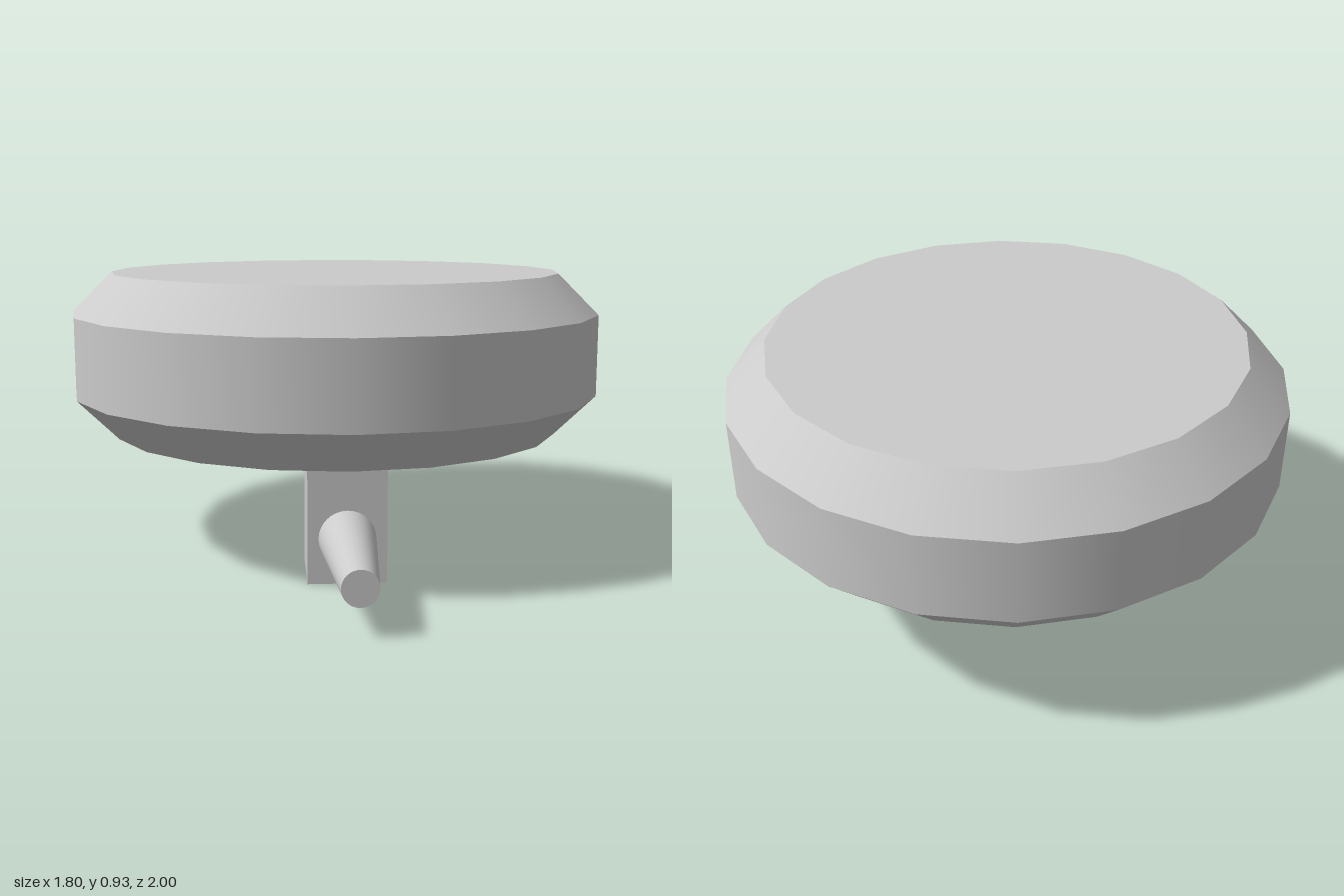
import * as THREE from 'three';

export function createModel() {
  const model = new THREE.Group();
  const material = new THREE.MeshStandardMaterial({ color: 0xcccccc });
  const add = (parent, name, geometry, x, y, z) => {
    const mesh = new THREE.Mesh(geometry, material);
    mesh.name = name;
    mesh.position.set(x, y, z);
    parent.add(mesh);
    return mesh;
  };

  // Twenty-sided bevelled disc: each band is smooth around, with sharp edges between bands
  const SIDES = 20, R = 0.9, FACE_R = 0.765;
  const disc = new THREE.Group();
  disc.name = 'disc';
  disc.position.z = -0.1;
  model.add(disc);
  const bands = [
    ['lowerBevel', FACE_R, R, 0.385, 0.52],
    ['rim', R, R, 0.52, 0.79],
    ['upperBevel', R, FACE_R, 0.79, 0.925],
  ];
  for (const [name, r0, r1, y0, y1] of bands) {
    add(disc, name, new THREE.CylinderGeometry(r1, r0, y1 - y0, SIDES, 1, true), 0, (y0 + y1) / 2, 0);
  }

  // Flat faces closing the disc
  const face = new THREE.CircleGeometry(FACE_R, SIDES);
  add(disc, 'topFace', face, 0, 0.925, 0).rotation.x = -Math.PI / 2;
  add(disc, 'bottomFace', face, 0, 0.385, 0).rotation.x = Math.PI / 2;

  // Square block hanging under the front of the disc
  add(model, 'block', new THREE.BoxGeometry(0.245, 0.385, 0.24), 0, 0.1925, 0.403);

  // Tapered peg pointing forward from the block
  const peg = new THREE.CylinderGeometry(0.053, 0.089, 0.477, 32).rotateX(Math.PI / 2);
  add(model, 'peg', peg, 0, 0.142, 0.7615);

  return model;
}
